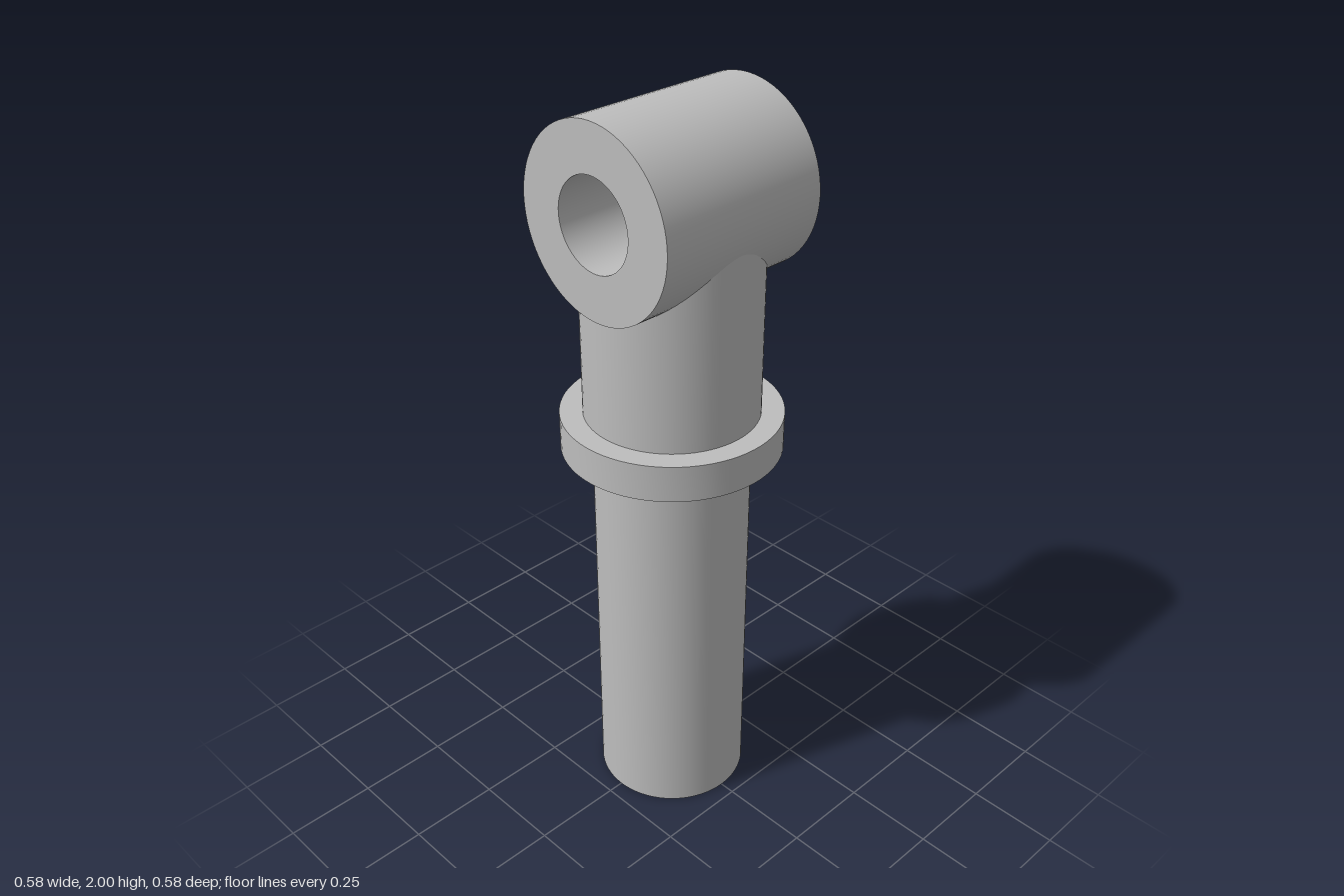
import * as THREE from 'three';
import { toCreasedNormals } from 'three/addons/utils/BufferGeometryUtils.js';

const SEGMENTS = 72;
const EYE_Y = 1.757, EYE_R = 0.243, BORE_R = 0.118, EYE_HALF = 0.251;
const NECK_R = 0.23, SHAFT_R = 0.207, HOLE_R = 0.088, FLANGE_R = 0.29;
const FLANGE_BOTTOM = 1.085, FLANGE_TOP = 1.185, HOLE_DEPTH = 0.8;

// Turned part with sharp profile corners and a smooth circumference
function turned(profile) {
  const points = profile.map(([r, y]) => new THREE.Vector2(r, y));
  return toCreasedNormals(new THREE.LatheGeometry(points, SEGMENTS), 0.5);
}

// Neck tube whose upper rim follows the underside of the cross eye
function saddleNeck() {
  const height = 0.4;
  const geo = new THREE.CylinderGeometry(NECK_R, NECK_R, height, SEGMENTS, 1, true);
  const pos = geo.attributes.position;
  for (let i = 0; i < pos.count; i++) {
    const x = pos.getX(i);
    const rim = EYE_Y - Math.sqrt(EYE_R ** 2 - x * x) + 0.005;
    pos.setY(i, pos.getY(i) > 0 ? rim : FLANGE_TOP);
  }
  return geo;
}

export function createModel() {
  const group = new THREE.Group();
  const steel = new THREE.MeshStandardMaterial({ color: 0xbdbdbd });
  steel.name = 'grey steel';

  const add = (name, geometry) => {
    const mesh = new THREE.Mesh(geometry, steel);
    mesh.name = name;
    group.add(mesh);
    return mesh;
  };

  // Shaft with a blind hole in its lower end
  add('shaft', turned([
    [0, HOLE_DEPTH], [HOLE_R, HOLE_DEPTH], [HOLE_R, 0], [SHAFT_R, 0], [SHAFT_R, FLANGE_BOTTOM],
  ]));

  // Collar between shaft and neck
  add('flange', turned([
    [SHAFT_R, FLANGE_BOTTOM], [FLANGE_R, FLANGE_BOTTOM], [FLANGE_R, FLANGE_TOP], [NECK_R, FLANGE_TOP],
  ]));

  add('neck', saddleNeck());

  // Cross eye with a through bore along z
  const eye = add('eye', turned([
    [BORE_R, EYE_HALF], [BORE_R, -EYE_HALF], [EYE_R, -EYE_HALF], [EYE_R, EYE_HALF], [BORE_R, EYE_HALF],
  ]));
  eye.rotation.x = Math.PI / 2;
  eye.position.y = EYE_Y;

  return group;
}
